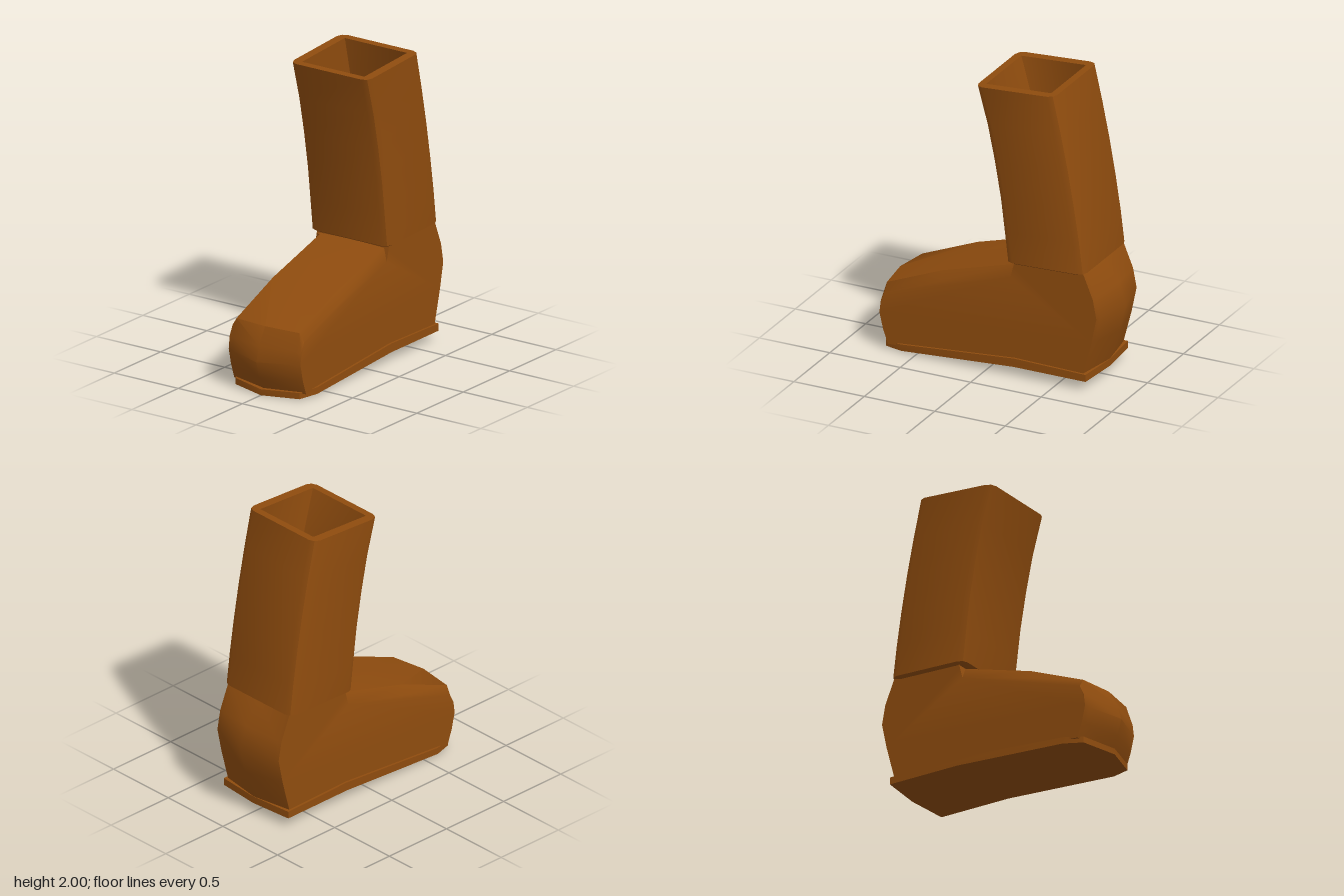
import * as THREE from 'three';
import { toCreasedNormals } from 'three/addons/utils/BufferGeometryUtils.js';

const lerp = THREE.MathUtils.lerp;

// Skin a stack of matching loops and close both ends; project flattens a point for the caps.
function loft(loops, project) {
  const n = loops[0].length;
  const index = [];
  for (let k = 0; k < loops.length - 1; k++) {
    for (let i = 0; i < n; i++) {
      const j = (i + 1) % n, a = k * n, b = a + n;
      index.push(a + i, a + j, b + j, a + i, b + j, b + i);
    }
  }
  const cap = (k, flip) => {
    const flat = loops[k].map((p) => new THREE.Vector2(...project(p)));
    for (const [a, b, c] of THREE.ShapeUtils.triangulateShape(flat, [])) {
      index.push(k * n + a, k * n + (flip ? c : b), k * n + (flip ? b : c));
    }
  };
  cap(0, true);
  cap(loops.length - 1, false);
  const geometry = new THREE.BufferGeometry();
  geometry.setAttribute('position', new THREE.Float32BufferAttribute(loops.flat(2), 3));
  geometry.setIndex(index);
  return toCreasedNormals(geometry, 0.7);
}

const fromSide = ([, y, z]) => [-z, y];
const fromAbove = ([x, , z]) => [x, -z];

// Foot: centre-line and side profiles as [z, y], running heel, ankle, instep, toe
function footGeometry() {
  const centre = [
    [-0.73, 0.11], [-0.8, 0.32], [-0.845, 0.51], [-0.8, 0.66], [-0.685, 0.81],
    [-0.2, 0.8], [-0.19, 0.77], [-0.17, 0.76], [0.33, 0.615], [0.755, 0.455],
    [0.82, 0.34], [0.85, 0.24], [0.82, 0.13], [0.77, 0.04], [-0.2, 0.1],
  ];
  const side = [
    [-0.685, 0.11], [-0.745, 0.34], [-0.78, 0.51], [-0.755, 0.64], [-0.685, 0.81],
    [-0.2, 0.8], [-0.19, 0.76], [-0.17, 0.68], [0.33, 0.55], [0.72, 0.395],
    [0.75, 0.33], [0.76, 0.25], [0.735, 0.14], [0.7, 0.04], [-0.2, 0.1],
  ];
  const shoulder = centre.map(([z, y], i) => {
    const onInstep = i === 7 || i === 8;
    return [lerp(z, side[i][0], 0.88), onInstep ? y - 0.003 : i === 9 ? 0.45 : lerp(y, side[i][1], 0.88)];
  });
  const at = (profile, x) => profile.map(([z, y]) => [x, y, z]);
  return loft([
    at(side, -0.28), at(shoulder, -0.245), at(centre, 0), at(shoulder, 0.245), at(side, 0.28),
  ], fromSide);
}

// Sole: thin plate bent at the arch, pointed at toe and heel
function soleGeometry() {
  const bottom = (z) => 0.07 - 0.065 * Math.max(0, z + 0.2);
  const top = (z) => bottom(z) + 0.058 - 0.018 * Math.max(0, z + 0.2);
  const slice = ([x, heel, toe]) => [
    [x, 0.07, heel], [x, 0.118, heel], [x, top(-0.2), -0.2],
    [x, top(toe), toe], [x, bottom(toe), toe], [x, 0.07, -0.2],
  ];
  return loft([
    [-0.295, -0.71, 0.6], [-0.25, -0.714, 0.73], [0, -0.735, 0.8],
    [0.25, -0.714, 0.73], [0.295, -0.71, 0.6],
  ].map(slice), fromSide);
}

// Shaft: bevelled rectangular tube that leans back as it goes down, open at the top
function shaftGeometry() {
  // front z, front y, back z, back y
  const stations = [
    [-0.145, 0.79, -0.703, 0.81], [-0.12, 1.0, -0.677, 1.02], [-0.093, 1.22, -0.642, 1.25],
    [-0.05, 1.47, -0.598, 1.5], [0.0, 1.71, -0.547, 1.75], [0.07, 1.965, -0.49, 2.0],
  ];
  const ring = ([zf, yf, zb, yb], w, inset, bevel, lift = 0) => {
    const depth = zf - zb;
    const corner = [[w, bevel], [w - bevel * 0.3, bevel * 0.3], [w - bevel, 0]];
    const half = [...corner.map(([x, d]) => [x, d]).reverse(),
      ...corner.map(([x, d]) => [x, depth - 2 * inset - d])];
    const outline = [...half, ...half.map(([x, d]) => [-x, d]).reverse()];
    return outline.map(([x, d]) => {
      const t = (d + inset) / depth;
      return [x, lerp(yf, yb, t) + lift, lerp(zf, zb, t)];
    });
  };
  const foot = stations[0];
  const outer = stations.map((s) => ring(s, 0.305, 0, 0.05));
  const inner = stations.slice(1).reverse().map((s) => ring(s, 0.243, 0.05, 0.005));
  return loft([
    ring(foot, 0.28, 0.025, 0.04, -0.015), ...outer, ...inner,
    ring(foot, 0.243, 0.055, 0.005, 0.035), ring(foot, 0.225, 0.075, 0.005, 0.02),
  ], fromAbove);
}

export function createModel() {
  const group = new THREE.Group();
  group.name = 'boot';
  const leather = new THREE.MeshStandardMaterial({ color: 0x8f4c0e });
  leather.name = 'brown leather';
  const parts = { foot: footGeometry(), sole: soleGeometry(), shaft: shaftGeometry() };
  for (const [name, geometry] of Object.entries(parts)) {
    const mesh = new THREE.Mesh(geometry, leather);
    mesh.name = name;
    group.add(mesh);
  }
  return group;
}
